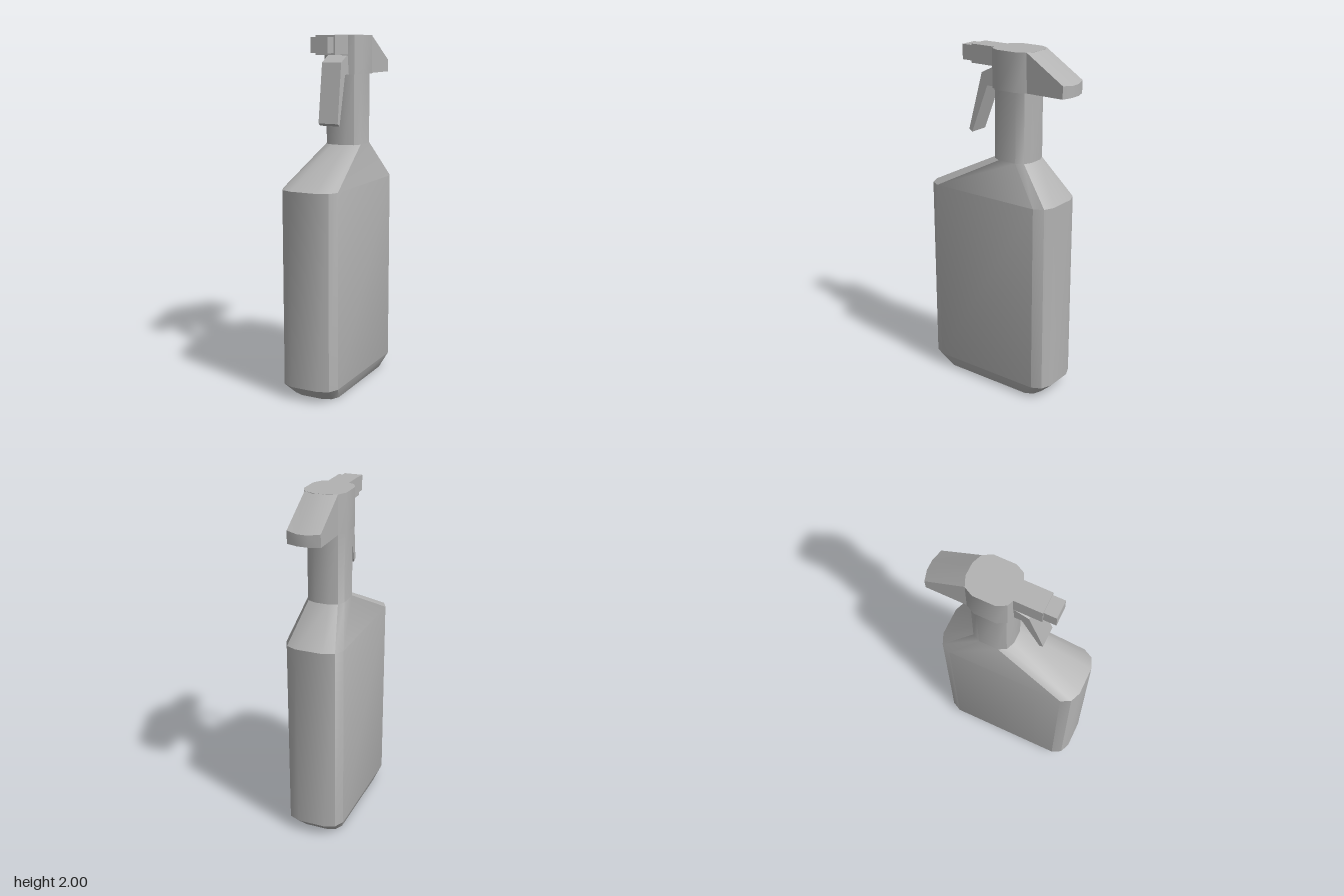
import * as THREE from 'three';
import { toCreasedNormals } from 'three/addons/utils/BufferGeometryUtils.js';

// Skin a stack of equal-length rings (counter-clockwise seen from the last ring), capped at both ends
function loft(rings, crease = 0.56) {
  const n = rings[0].length;
  const index = [];
  for (let r = 0; r < rings.length - 1; r++) {
    for (let i = 0; i < n; i++) {
      const a = r * n + i, b = r * n + (i + 1) % n;
      index.push(a, b, b + n, a, b + n, a + n);
    }
  }
  const last = (rings.length - 1) * n;
  for (let i = 1; i < n - 1; i++) {
    index.push(0, i + 1, i, last, last + i, last + i + 1);
  }
  const geometry = new THREE.BufferGeometry();
  geometry.setAttribute('position', new THREE.Float32BufferAttribute(rings.flat(2), 3));
  geometry.setIndex(index);
  return toCreasedNormals(geometry, crease);
}

// Horizontal 12-point rounded rectangle; c scales the corner size
function ring(y, hx, front, back, c) {
  const hz = (front - back) / 2, cz = (front + back) / 2;
  const corner = [[hx, hz - 0.08 * c], [hx - 0.028 * c, hz - 0.025 * c], [hx - 0.088 * c, hz]];
  const flipped = [...corner].reverse();
  return [
    ...corner.map(([x, z]) => [x, y, cz - z]),
    ...flipped.map(([x, z]) => [-x, y, cz - z]),
    ...corner.map(([x, z]) => [-x, y, cz + z]),
    ...flipped.map(([x, z]) => [x, y, cz + z]),
  ];
}

export function createModel() {
  const group = new THREE.Group();
  const grey = new THREE.MeshStandardMaterial({ color: 0xb2b2b2 });
  grey.name = 'plain grey';

  const add = (name, geometry) => {
    const mesh = new THREE.Mesh(geometry, grey);
    mesh.name = name;
    group.add(mesh);
    return mesh;
  };
  const box = (name, w, y0, y1, z0, z1) =>
    add(name, new THREE.BoxGeometry(w, y1 - y0, z1 - z0)).position.set(0, (y0 + y1) / 2, (z0 + z1) / 2);

  // Bottle with chamfered base, sloping shoulders and neck
  add('bottle', loft([
    ring(0, 0.137, 0.364, -0.306, 0.81),
    ring(0.075, 0.168, 0.45, -0.386, 1),
    ring(1.18, 0.168, 0.45, -0.386, 1),
    ring(1.39, 0.108, 0.031, -0.206, 0.78),
    ring(1.785, 0.108, 0.031, -0.206, 0.78),
  ]));

  // Spray head
  add('headCore', loft([
    ring(1.785, 0.12, 0.045, -0.226, 0.93),
    ring(2, 0.12, 0.045, -0.226, 0.93),
  ]));

  // Sloping rear hood, built from slices across x
  const hoodSlice = (x, front, back, backTop) => [
    [x, 1.785, front], [x, 1.785, back], [x, backTop, back], [x, 2, front],
  ];
  add('rearHood', loft([
    hoodSlice(-0.093, -0.203, -0.432, 1.855),
    hoodSlice(-0.03, -0.225, -0.451, 1.848),
    hoodSlice(0.03, -0.225, -0.451, 1.848),
    hoodSlice(0.093, -0.203, -0.432, 1.855),
  ]));

  // Nozzle
  box('nozzleArm', 0.12, 1.895, 2, -0.03, 0.19);
  box('nozzleTip', 0.103, 1.905, 1.99, 0.18, 0.26);

  // Trigger, leaning slightly sideways: profile as [z, y]
  const profile = [[0.08, 1.785], [0, 1.785], [0, 1.89], [0.045, 1.89], [0.12, 1.852], [0.198, 1.524], [0.177, 1.51]];
  const triggerSide = (x) => profile.map(([z, y]) => [x + 0.055 * (1.89 - y), y, z]);
  add('trigger', loft([triggerSide(-0.059), triggerSide(0.059)], 0.2));

  return group;
}
